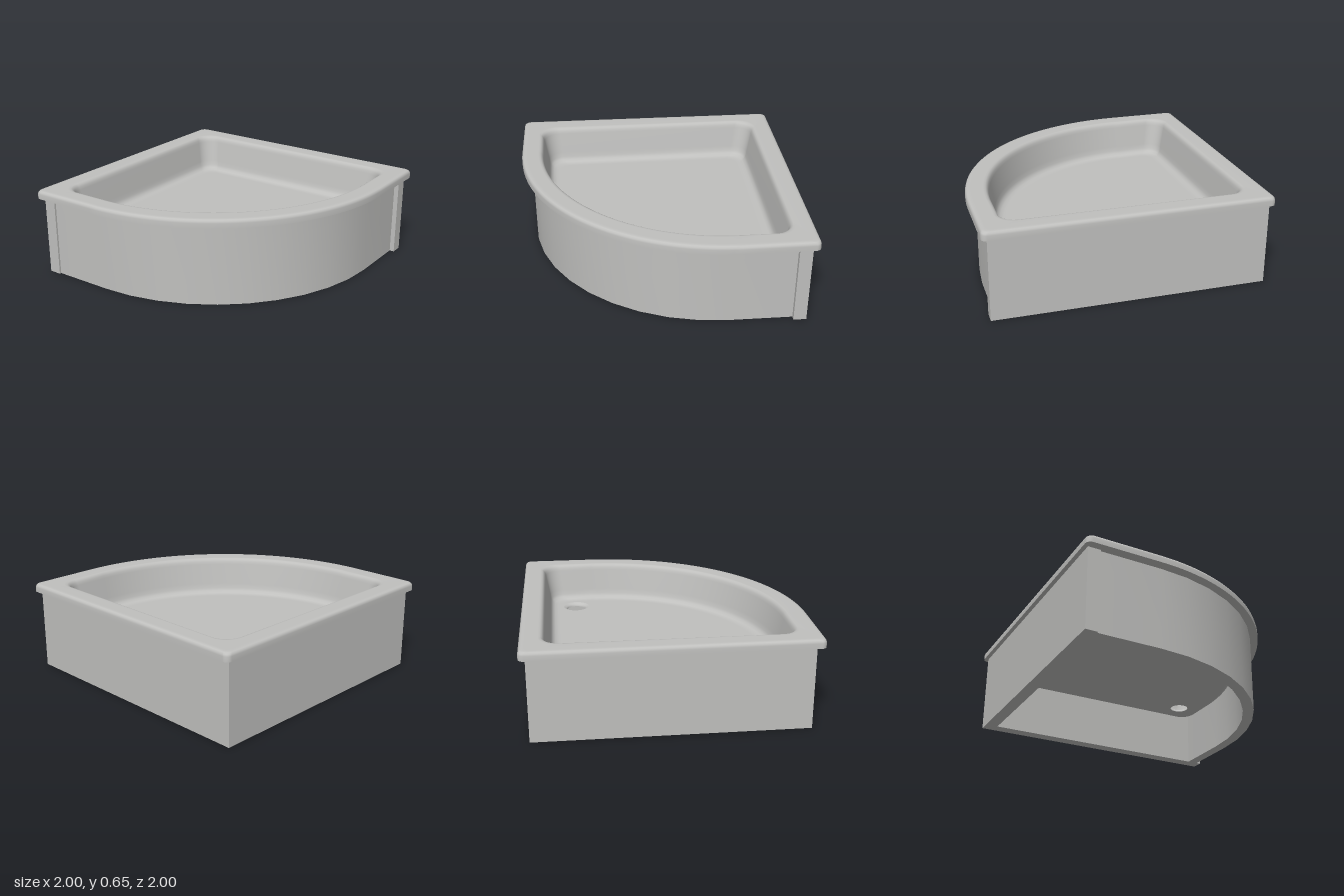
import * as THREE from 'three';
import { toCreasedNormals } from 'three/addons/utils/BufferGeometryUtils.js';

const RIM_RADIUS = 1.47; // large rounded front corner of the tray
const DRAIN = { x: 0.6, z: -0.6 };

// Plan outline as [x, z] points: one large corner and three small ones
function outline(inset, smallRadius) {
  const points = [];
  [[1, 1], [-1, 1], [-1, -1], [1, -1]].forEach(([sx, sz], k) => {
    const r = k === 0 ? RIM_RADIUS - inset : smallRadius;
    const c = 1 - inset - r;
    const steps = k === 0 ? 48 : 10;
    for (let i = 0; i <= steps; i++) {
      const a = (k + i / steps) * Math.PI / 2;
      points.push([sx * c + r * Math.cos(a), sz * c + r * Math.sin(a)]);
    }
  });
  return points;
}

// Skin through outlines given as [inset, height, small corner radius]
function loft(profile) {
  const pos = [], index = [];
  let n = 0;
  for (const [inset, y, radius] of profile) {
    const ring = outline(inset, radius);
    n = ring.length;
    ring.forEach(([x, z]) => pos.push(x, y, z));
  }
  for (let i = 0; i < profile.length - 1; i++) {
    for (let j = 0; j < n; j++) {
      const k = (j + 1) % n;
      const a = i * n + j, b = i * n + k, c = a + n, d = b + n;
      index.push(a, c, b, b, c, d);
    }
  }
  const g = new THREE.BufferGeometry();
  g.setAttribute('position', new THREE.Float32BufferAttribute(pos, 3));
  g.setIndex(index);
  g.computeVertexNormals();
  return g;
}

// Flat floor sheet with a round drain opening, facing up (1) or down (-1)
function floorSheet(inset, radius, holeRadius, y, facing) {
  const shape = new THREE.Shape(outline(inset, radius).map(([x, z]) => new THREE.Vector2(x, -facing * z)));
  const hole = new THREE.Path();
  hole.absarc(DRAIN.x, -facing * DRAIN.z, holeRadius, 0, Math.PI * 2, true);
  shape.holes.push(hole);
  const g = new THREE.ShapeGeometry(shape, 24);
  g.rotateX(-facing * Math.PI / 2);
  g.translate(0, y, 0);
  return g;
}

// Curved front skirt panel, deliberately faceted
function curvedPanel(height) {
  const c = -0.43, segments = 10;
  const side = (r) => {
    const pts = [new THREE.Vector2(-0.88, -(c + r))];
    for (let i = 0; i <= segments; i++) {
      const a = (i / segments) * Math.PI / 2;
      pts.push(new THREE.Vector2(c + r * Math.sin(a), -(c + r * Math.cos(a))));
    }
    pts.push(new THREE.Vector2(c + r, 0.87));
    return pts;
  };
  const shape = new THREE.Shape([...side(1.356), ...side(1.276).reverse()]);
  const g = new THREE.ExtrudeGeometry(shape, { depth: height, bevelEnabled: false });
  g.rotateX(-Math.PI / 2);
  return toCreasedNormals(g, Math.PI / 6);
}

export function createModel() {
  const group = new THREE.Group();
  group.name = 'showerTray';
  const acrylic = new THREE.MeshStandardMaterial({ color: 0xc0c0be });
  acrylic.name = 'greyAcrylic';
  const add = (name, geometry, x = 0, y = 0, z = 0) => {
    const mesh = new THREE.Mesh(geometry, acrylic);
    mesh.name = name;
    mesh.position.set(x, y, z);
    group.add(mesh);
  };

  // Rim, rolled edge and basin walls
  add('rimAndBasin', loft([
    [0, 0.59, 0.04], [0, 0.625, 0.04], [0.004, 0.638, 0.04], [0.012, 0.647, 0.04],
    [0.025, 0.65, 0.04], [0.04, 0.65, 0.04], [0.125, 0.65, 0.13], [0.14, 0.648, 0.13],
    [0.152, 0.64, 0.125], [0.16, 0.625, 0.12], [0.165, 0.605, 0.12], [0.195, 0.45, 0.11],
    [0.202, 0.415, 0.11], [0.213, 0.395, 0.1], [0.23, 0.381, 0.1], [0.255, 0.375, 0.09],
    [0.28, 0.375, 0.08],
  ]));
  add('basinFloor', floorSheet(0.28, 0.08, 0.1, 0.375, 1));

  // Underside of the tray
  add('rimUnderside', loft([[0.145, 0.59, 0.12], [0, 0.59, 0.04]]));
  add('basinUnderside', loft([
    [0.25, 0.35, 0.09], [0.225, 0.353, 0.1], [0.2, 0.37, 0.11],
    [0.185, 0.41, 0.12], [0.145, 0.59, 0.12],
  ]));
  add('floorUnderside', floorSheet(0.25, 0.09, 0.07, 0.35, -1));

  // Countersunk drain opening
  const drainProfile = [[0.1, 0.375], [0.092, 0.373], [0.08, 0.366], [0.072, 0.36], [0.07, 0.35]];
  add('drainOpening', new THREE.LatheGeometry(
    drainProfile.map(([r, y]) => new THREE.Vector2(r, y)), 48), DRAIN.x, 0, DRAIN.z);

  // Skirt panels
  const h = 0.59;
  add('backPanel', new THREE.BoxGeometry(1.93, h, 0.09), -0.005, h / 2, -0.91);
  add('sidePanel', new THREE.BoxGeometry(0.09, h, 1.805), -0.925, h / 2, 0.0375);
  add('curvedFrontPanel', curvedPanel(h));

  return group;
}
